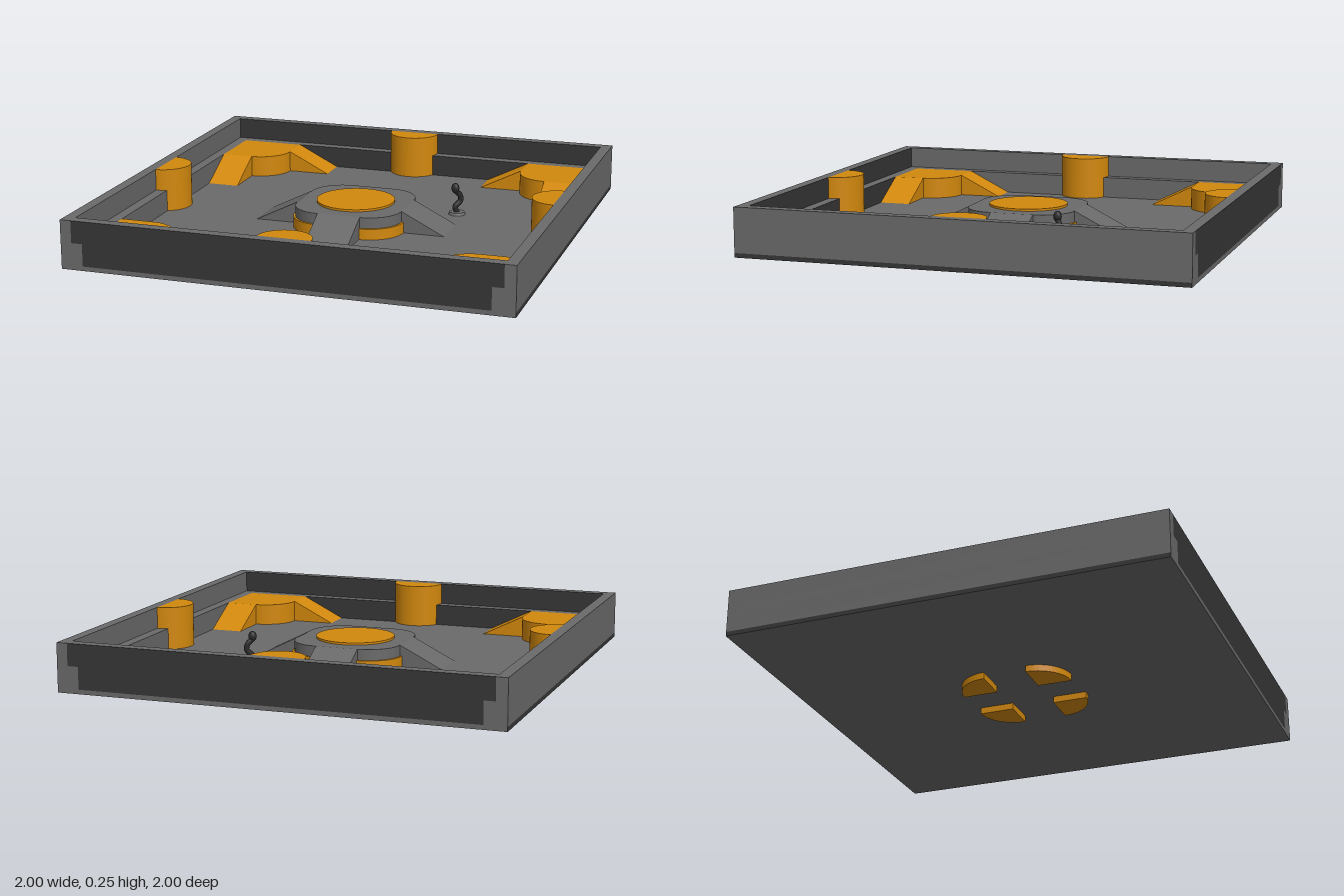
import * as THREE from 'three';

const mat = (name, color) => new THREE.MeshStandardMaterial({ name, color });

export function createModel() {
  const gray = mat('gray', 0x6a6a6a);
  const dark = mat('dark gray', 0x363636);
  const orange = mat('orange', 0xd2880d);
  const black = mat('black', 0x2a2a2a);

  const model = new THREE.Group();
  model.name = 'arenaTray';

  const add = (parent, name, geometry, material) => {
    const mesh = new THREE.Mesh(geometry, material);
    mesh.name = name;
    parent.add(mesh);
    return mesh;
  };
  // Box given by its minimum and maximum corners
  const box = (parent, name, a, b, material) => {
    const m = add(parent, name, new THREE.BoxGeometry(b[0] - a[0], b[1] - a[1], b[2] - a[2]), material);
    m.position.set((a[0] + b[0]) / 2, (a[1] + b[1]) / 2, (a[2] + b[2]) / 2);
    return m;
  };
  // Plan outline in x and z, extruded between two heights
  const slab = (shape, y0, y1) =>
    new THREE.ExtrudeGeometry(shape, { depth: y1 - y0, bevelEnabled: false, curveSegments: 20 })
      .rotateX(Math.PI / 2).translate(0, y1, 0);
  // Wedge falling from the plateau to the floor along +x
  const FLOOR = 0.05, PLATEAU = 0.15;
  const ramp = (parent, width, x, z, turn, material) => {
    const h = PLATEAU - FLOOR;
    const tri = new THREE.Shape([[0, 0], [0.2, 0], [0, h]].map(p => new THREE.Vector2(...p)));
    const geo = new THREE.ExtrudeGeometry(tri, { depth: width, bevelEnabled: false }).translate(0, 0, -width / 2);
    const m = add(parent, 'ramp', geo, material);
    m.position.set(x, FLOOR, z);
    m.rotation.y = turn;
  };

  // Floor slab, dark on its left and right edges
  box(model, 'floor', [-1, 0.03, -1], [1, FLOOR, 1], [dark, dark, gray, gray, gray, gray]);

  // Stepped walls; front and back panels are dark on their upright faces
  const panel = [gray, gray, gray, gray, dark, dark];
  for (const s of [-1, 1]) {
    const side = (name, inner, y0, y1) =>
      box(model, name, [Math.min(s * inner, s), y0, -1], [Math.max(s * inner, s), y1, 1], gray);
    side('sideWallLower', 0.9, FLOOR, PLATEAU);
    side('sideWallUpper', 0.95, PLATEAU, 0.25);
    const end = (name, inner, y0, y1) =>
      box(model, name, [-inner, y0, Math.min(s * inner, s)], [inner, y1, Math.max(s * inner, s)], panel);
    end('endWallLower', 0.9, FLOOR, PLATEAU);
    end('endWallUpper', 0.95, PLATEAU, 0.25);
  }

  // Corner platform outline with a rounded inner corner
  const corner = new THREE.Shape();
  corner.moveTo(0.9, 0.9);
  corner.lineTo(0.6, 0.9);
  corner.lineTo(0.6, 0.75);
  corner.absarc(0.75, 0.75, 0.15, Math.PI, Math.PI * 1.5, false);
  corner.lineTo(0.9, 0.6);

  // Quarter disc for the central supports
  const quarter = new THREE.Shape();
  quarter.moveTo(0, 0);
  quarter.lineTo(0.16, 0);
  quarter.absarc(0, 0, 0.16, 0, Math.PI / 2, false);

  // Four-fold parts
  for (let i = 0; i < 4; i++) {
    const quadrant = new THREE.Group();
    quadrant.name = 'quadrant' + (i + 1);
    quadrant.rotation.y = i * Math.PI / 2;
    model.add(quadrant);

    add(quadrant, 'cornerPlatform', slab(corner, FLOOR, PLATEAU), orange);
    ramp(quadrant, 0.15, 0.6, 0.825, Math.PI, orange);
    ramp(quadrant, 0.15, 0.825, 0.6, Math.PI / 2, orange);

    const post = add(quadrant, 'wallPost',
      new THREE.CylinderGeometry(0.12, 0.12, 0.2, 28, 1, false, Math.PI / 2, Math.PI), orange);
    post.position.set(0, 0.15, 0.95);

    const support = add(quadrant, 'centreSupport', slab(quarter, 0, 0.1), orange);
    support.position.set(0.1, 0, 0.1);

    ramp(quadrant, 0.2, 0.25, 0, 0, gray);
  }

  // Central platform: crossed core, rounded plate and top disc
  box(model, 'coreAcross', [-0.25, FLOOR, -0.1], [0.25, 0.12, 0.1], gray);
  box(model, 'coreAlong', [-0.1, FLOOR, -0.25], [0.1, 0.12, 0.25], gray);
  const plate = new THREE.Shape();
  plate.moveTo(0.25, -0.1);
  for (const [x, y, k] of [[0.1, 0.1, 0], [-0.1, 0.1, 1], [-0.1, -0.1, 2], [0.1, -0.1, 3]]) {
    plate.absarc(x, y, 0.15, k * Math.PI / 2, (k + 1) * Math.PI / 2, false);
  }
  add(model, 'centrePlate', slab(plate, 0.1, PLATEAU), gray);
  const disc = add(model, 'centreDisc', new THREE.CylinderGeometry(0.18, 0.18, 0.02, 48), orange);
  disc.position.y = 0.15;

  // Small curved figurine on a round base
  const figure = new THREE.Group();
  figure.name = 'figurine';
  figure.position.set(0.41, FLOOR, -0.27);
  model.add(figure);
  const base = add(figure, 'figurineBase', new THREE.CylinderGeometry(0.035, 0.04, 0.012, 24), gray);
  base.position.y = 0.006;
  const spine = new THREE.CatmullRomCurve3([
    [0, 0.01, 0], [-0.008, 0.035, 0.006], [0.014, 0.065, -0.01], [0.012, 0.09, -0.008], [-0.008, 0.115, 0.008],
  ].map(p => new THREE.Vector3(...p)));
  add(figure, 'figurineBody', new THREE.TubeGeometry(spine, 20, 0.013, 8), black);
  const head = add(figure, 'figurineHead', new THREE.SphereGeometry(0.019, 12, 8), black);
  head.position.set(-0.007, 0.127, 0.008);
  head.scale.y = 1.3;

  return model;
}
